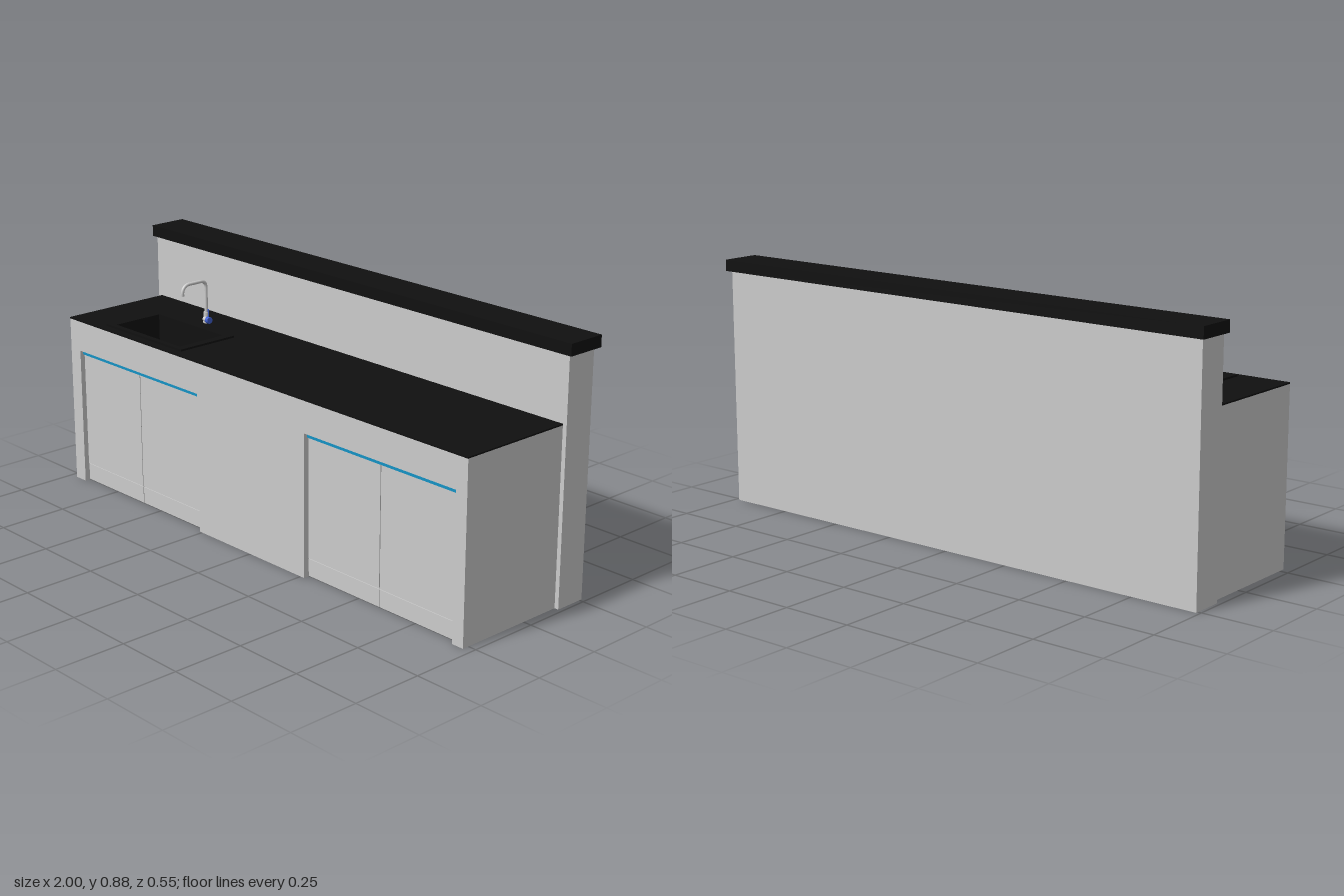
import * as THREE from 'three';

const mat = (color) => new THREE.MeshStandardMaterial({ color, side: THREE.DoubleSide });
const grey = mat(0xcccccc), black = mat(0x101010), teal = mat(0x1593c4), blue = mat(0x4060d0);

export function createModel() {
  const model = new THREE.Group();
  model.name = 'kitchenCounter';

  const add = (name, geometry, material, parent = model) => {
    const mesh = new THREE.Mesh(geometry, material);
    mesh.name = name;
    parent.add(mesh);
    return mesh;
  };
  // Box given by its limits on each axis
  const box = (name, [x0, x1], [y0, y1], [z0, z1], material = grey, parent = model) => {
    const mesh = add(name, new THREE.BoxGeometry(x1 - x0, y1 - y0, z1 - z0), material, parent);
    mesh.position.set((x0 + x1) / 2, (y0 + y1) / 2, (z0 + z1) / 2);
    return mesh;
  };
  const rect = (target, x0, x1, y0, y1) => {
    target.moveTo(x0, y0).lineTo(x1, y0).lineTo(x1, y1).lineTo(x0, y1).closePath();
    return target;
  };
  const extrude = (shape, depth) =>
    new THREE.ExtrudeGeometry(shape, { depth, bevelEnabled: false });

  // Back wall and its cap
  box('backWall', [-0.988, 0.985], [0, 0.838], [-0.26, -0.147]);
  box('wallCap', [-1, 1], [0.838, 0.878], [-0.275, -0.135], black);

  // Front panel with two openings that reach the floor
  const openings = [[-0.917, -0.262], [0.267, 0.925]];
  const openTop = 0.5, end = 0.97, top = 0.61;
  const front = new THREE.Shape().moveTo(-end, 0);
  for (const [x0, x1] of openings) {
    front.lineTo(x0, 0).lineTo(x0, openTop).lineTo(x1, openTop).lineTo(x1, 0);
  }
  front.lineTo(end, 0).lineTo(end, top).lineTo(-end, top).closePath();
  add('frontPanel', extrude(front, 0.022), grey).position.z = 0.252;

  // End panels
  for (const side of [-1, 1]) {
    const inner = side * (end - 0.012), outer = side * end;
    box('endPanel', [Math.min(inner, outer), Math.max(inner, outer)], [0, top], [-0.147, 0.252]);
  }

  // Cabinets: two carcasses, doors, plinth boards and a coloured grip strip each
  const kick = 0.065, gap = 0.0015;
  openings.forEach(([x0, x1], i) => {
    const cabinet = new THREE.Group();
    cabinet.name = i ? 'leftCabinet' : 'rightCabinet';
    model.add(cabinet);
    const middle = (x0 + x1) / 2 - (i ? 0 : 0.005);
    for (const [a, b] of [[x0, middle], [middle, x1]]) {
      box('carcass', [a, b], [kick, 0.485], [-0.146, 0.245], grey, cabinet);
      box('door', [a + gap, b - gap], [kick + gap, 0.484], [0.245, 0.257], grey, cabinet);
      box('plinth', [a + gap, b - gap], [0.003, kick - gap], [0.241, 0.255], grey, cabinet);
    }
    box('gripStrip', [x0, x1], [0.484, openTop], [0.24, 0.262], teal, cabinet);
  });

  // Worktop and sink rim, both cut out for the basin
  const bx = [-0.76, -0.41], bz = [0.035, 0.225];
  const slab = (name, x, z, y, thickness) => {
    const shape = rect(new THREE.Shape(), x[0], x[1], -z[1], -z[0]);
    shape.holes.push(rect(new THREE.Path(), bx[0], bx[1], -bz[1], -bz[0]));
    const mesh = add(name, extrude(shape, thickness), black);
    mesh.rotation.x = -Math.PI / 2;
    mesh.position.y = y;
  };
  slab('worktop', [-end, end], [-0.147, 0.275], top, 0.005);
  slab('sinkRim', [-0.795, -0.38], [0.008, 0.245], 0.615, 0.007);

  // Basin
  const basin = new THREE.Group();
  basin.name = 'sinkBasin';
  model.add(basin);
  const by = [0.505, 0.62], t = 0.003;
  box('basinFloor', bx, [by[0] - t, by[0]], bz, black, basin);
  box('basinSide', [bx[0] - t, bx[0]], by, bz, black, basin);
  box('basinSide', [bx[1], bx[1] + t], by, bz, black, basin);
  box('basinBack', bx, by, [bz[0] - t, bz[0]], black, basin);
  box('basinFront', bx, by, [bz[1], bz[1] + t], black, basin);

  // Drain: stepped rings turned as one profile
  const drainProfile = [[0, 0.002], [0.008, 0.002], [0.009, 0.004], [0.012, 0.004], [0.013, 0.001],
    [0.019, 0.001], [0.021, 0.005], [0.026, 0.005], [0.028, 0]];
  add('drain', new THREE.LatheGeometry(drainProfile.map(([r, y]) => new THREE.Vector2(r, y)), 32), grey)
    .position.set(-0.59, by[0], 0.115);

  // Tap
  const tap = new THREE.Group();
  tap.name = 'tap';
  tap.position.set(-0.585, 0.615, -0.04);
  model.add(tap);
  add('tapBase', new THREE.CylinderGeometry(0.012, 0.012, 0.004, 24), grey, tap).position.y = 0.002;
  add('tapBody', new THREE.CylinderGeometry(0.0095, 0.0095, 0.04, 24), grey, tap).position.y = 0.02;

  const v = (y, z) => new THREE.Vector3(0, y, z);
  const path = new THREE.CurvePath();
  path.add(new THREE.LineCurve3(v(0.03, 0), v(0.128, 0)));
  path.add(new THREE.QuadraticBezierCurve3(v(0.128, 0), v(0.155, 0), v(0.155, 0.027)));
  path.add(new THREE.LineCurve3(v(0.155, 0.027), v(0.155, 0.078)));
  path.add(new THREE.QuadraticBezierCurve3(v(0.155, 0.078), v(0.153, 0.106), v(0.122, 0.107)));
  add('spout', new THREE.TubeGeometry(path, 60, 0.006, 16), grey, tap);
  add('spoutTip', new THREE.CylinderGeometry(0.0065, 0.0065, 0.008, 16), grey, tap)
    .position.set(0, 0.121, 0.107);

  // Side valve with coloured knob and lever
  const valve = add('valve', new THREE.CylinderGeometry(0.009, 0.009, 0.018, 20), grey, tap);
  valve.rotation.z = Math.PI / 2;
  valve.position.set(0.01, 0.016, 0.01);
  const knob = add('knob', new THREE.CylinderGeometry(0.012, 0.012, 0.014, 24), blue, tap);
  knob.rotation.z = Math.PI / 2;
  knob.position.set(0.025, 0.016, 0.011);
  add('lever', new THREE.CylinderGeometry(0.0025, 0.0025, 0.042, 12), blue, tap)
    .position.set(0.025, 0.035, 0.011);

  return model;
}
